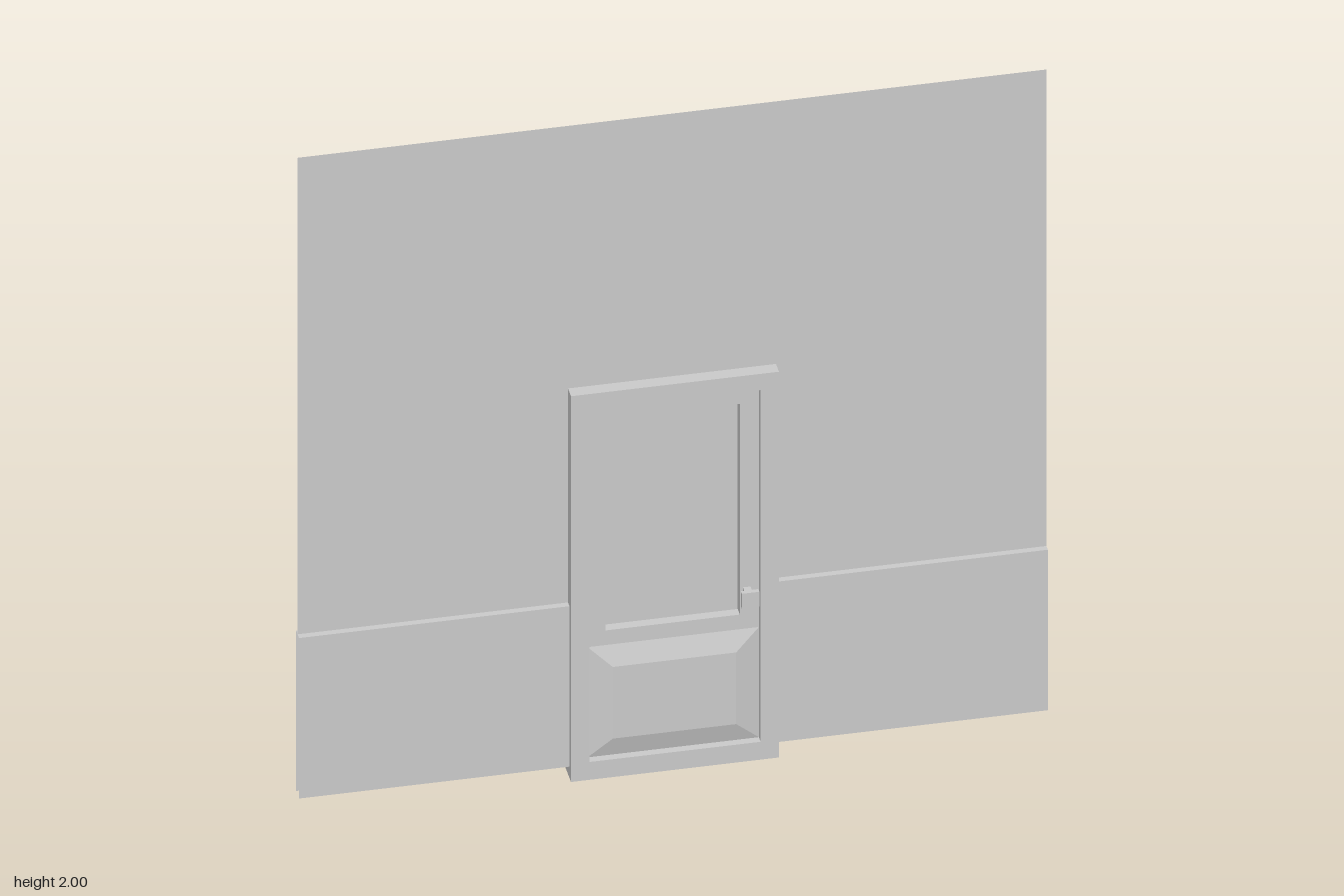
import * as THREE from 'three';

const grey = new THREE.MeshStandardMaterial({ color: 0xcccccc, flatShading: true });
const greyThin = new THREE.MeshStandardMaterial({ color: 0xcccccc, flatShading: true, side: THREE.DoubleSide });

function add(parent, name, geometry, x = 0, y = 0, z = 0, material = grey) {
  const mesh = new THREE.Mesh(geometry, material);
  mesh.name = name;
  mesh.position.set(x, y, z);
  parent.add(mesh);
  return mesh;
}

const rect = (Type, x0, y0, x1, y1) => new Type([
  new THREE.Vector2(x0, y0), new THREE.Vector2(x1, y0),
  new THREE.Vector2(x1, y1), new THREE.Vector2(x0, y1),
]);

// Rectangular slab with a rectangular opening, from z0 to z1
function framed(outer, inner, z0, z1) {
  const shape = rect(THREE.Shape, ...outer);
  shape.holes.push(rect(THREE.Path, ...inner));
  return new THREE.ExtrudeGeometry(shape, { depth: z1 - z0, bevelEnabled: false }).translate(0, 0, z0);
}

// Box whose +z face is shrunk to make a raised, chamfered panel
function raisedPanel(w, h, d, sx, sy) {
  const g = new THREE.BoxGeometry(w, h, d);
  const p = g.attributes.position;
  for (let i = 0; i < p.count; i++) {
    if (p.getZ(i) > 0) p.setXY(i, p.getX(i) * sx, p.getY(i) * sy);
  }
  g.translate(0, 0, d / 2);
  g.computeVertexNormals();
  return g;
}

export function createModel() {
  const group = new THREE.Group();
  group.name = 'wallWithDoor';

  const W = 0.983, BASE = 0.035, RAIL = 0.53, PANEL_Z = 0.018;
  const FRAME_X = 0.273, OPEN_X = 0.225, FRAME_TOP = 1.19, OPEN_TOP = 1.14, SILL = 0.055;
  const DOOR_BACK = -0.025, DOOR_FRONT = 0.015;

  // Thin upper wall, notched around the doorway
  const wall = new THREE.Shape([
    [-W, RAIL], [-0.25, RAIL], [-0.25, 1.165], [0.25, 1.165],
    [0.25, RAIL], [W, RAIL], [W, 2], [-W, 2],
  ].map(([x, y]) => new THREE.Vector2(x, y)));
  add(group, 'wall', new THREE.ShapeGeometry(wall), 0, 0, 0, greyThin);

  // Hollow lower wall panels: a sheet on each face and a ledge on top
  const panelW = W - 0.25;
  for (const side of [-1, 1]) {
    const x = side * (W + 0.25) / 2;
    for (const face of [-1, 1]) {
      add(group, 'lowerWallPanel', new THREE.PlaneGeometry(panelW, RAIL - BASE),
        x, (RAIL + BASE) / 2, face * PANEL_Z, greyThin);
    }
    add(group, 'lowerWallLedge', new THREE.PlaneGeometry(panelW, PANEL_Z * 2).rotateX(-Math.PI / 2),
      x, RAIL, 0, greyThin);
  }

  // Door frame with sill
  add(group, 'doorFrame', framed([-FRAME_X, 0, FRAME_X, FRAME_TOP],
    [-OPEN_X, SILL, OPEN_X, OPEN_TOP], -0.037, 0.037));

  // Door leaf with window opening and pane
  const door = new THREE.Group();
  door.name = 'door';
  group.add(door);
  add(door, 'doorLeaf', framed([-OPEN_X, SILL, OPEN_X, OPEN_TOP],
    [-0.178, 0.44, 0.175, 1.09], DOOR_BACK, DOOR_FRONT));
  add(door, 'windowPane', new THREE.PlaneGeometry(0.353, 0.65), -0.0015, 0.765, -0.012, greyThin);

  // Chamfered lower panel and square knob on both faces
  for (const face of [1, -1]) {
    const z = face > 0 ? DOOR_FRONT : DOOR_BACK;
    const panel = add(door, 'raisedPanel', raisedPanel(0.45, 0.34, 0.016, 0.72, 0.65), 0, 0.225, z);
    if (face < 0) panel.rotation.y = Math.PI;

    const knob = new THREE.Group();
    knob.name = 'doorKnob';
    knob.position.set(0.193, 0.513, 0);
    add(knob, 'knobStem', new THREE.BoxGeometry(0.02, 0.02, 0.042), 0, 0, face * 0.033);
    add(knob, 'knobHead', new THREE.BoxGeometry(0.046, 0.046, 0.013), 0, 0, face * 0.0565);
    door.add(knob);
  }

  return group;
}
